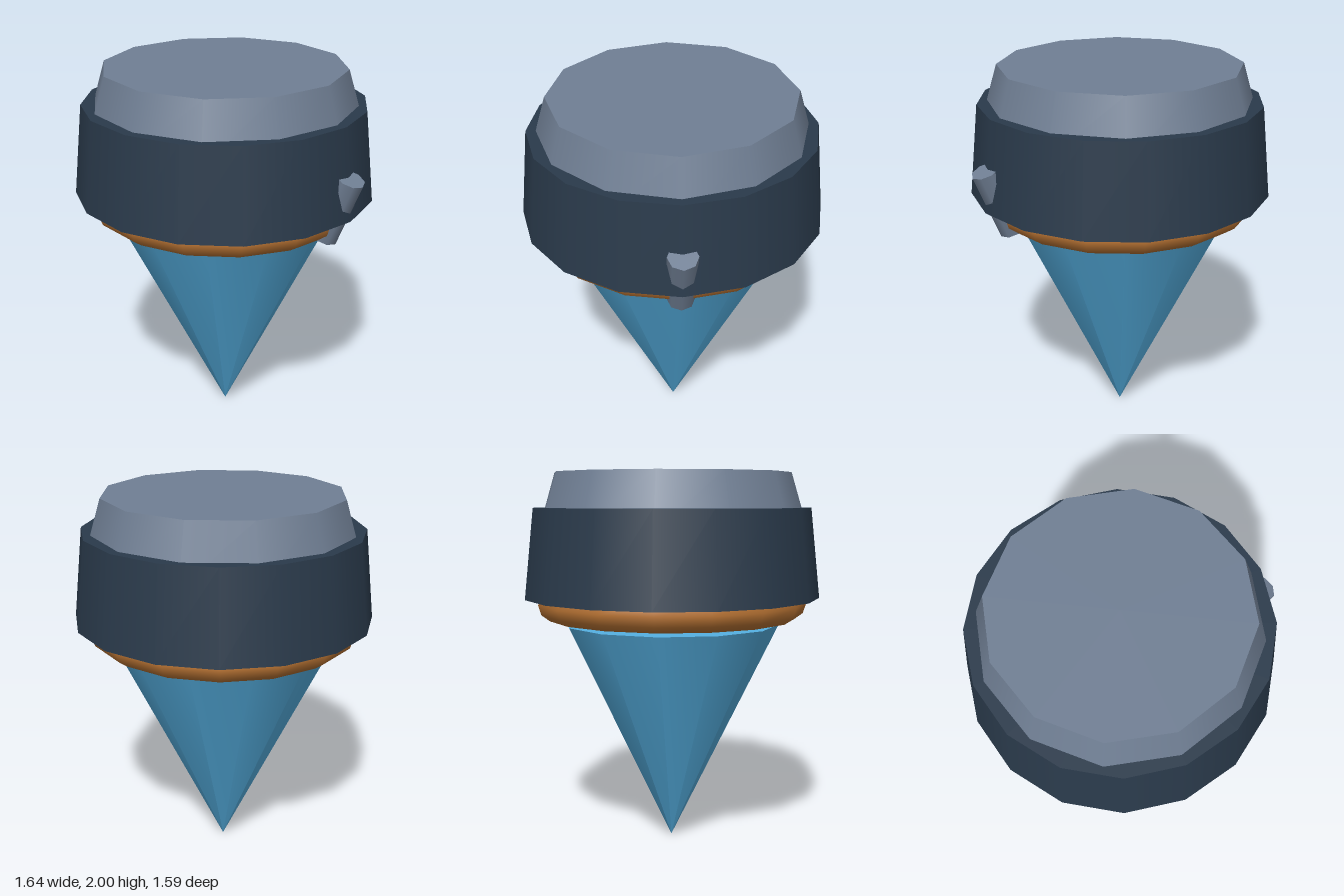
import * as THREE from 'three';

export function createModel() {
  const model = new THREE.Group();
  const material = (name, color) => {
    const m = new THREE.MeshStandardMaterial({ color });
    m.name = name;
    return m;
  };
  const slate = material('slate grey', 0x707f94);
  const navy = material('dark navy', 0x2a3a4b);
  const bronze = material('bronze', 0xb87333);
  const blue = material('crystal blue', 0x55b0e2);

  const axisX = -0.028; // the round parts sit slightly right of the clip

  const add = (name, geometry, mat, x, y) => {
    const mesh = new THREE.Mesh(geometry, mat);
    mesh.name = name;
    mesh.position.set(x, y, 0);
    model.add(mesh);
    return mesh;
  };
  // Tapered round part between two heights
  const taper = (name, rTop, rBottom, y0, y1, sides, mat) =>
    add(name, new THREE.CylinderGeometry(rTop, rBottom, y1 - y0, sides), mat, axisX, (y0 + y1) / 2);

  // Cap and the wide collar around it
  taper('topCap', 0.635, 0.725, 1.7, 2.0, 12, slate);
  taper('collar', 0.742, 0.793, 1.34, 1.815, 16, navy);

  // Ring under the collar
  const ring = new THREE.TorusGeometry(0.635, 0.09, 10, 16);
  ring.rotateX(Math.PI / 2);
  add('ring', ring, bronze, axisX, 1.31);

  // Pointed tip and the flat seat above it, inside the ring
  taper('tipSeat', 0.57, 0.57, 1.29, 1.345, 12, blue);
  taper('pointedTip', 0.581, 0, 0, 1.194, 12, blue);

  // Slanted clip on the left side
  const clip = add('sideClip', new THREE.CylinderGeometry(0.075, 0.07, 0.365, 8), slate, 0.686, 1.392);
  clip.rotation.z = -0.375;

  return model;
}
